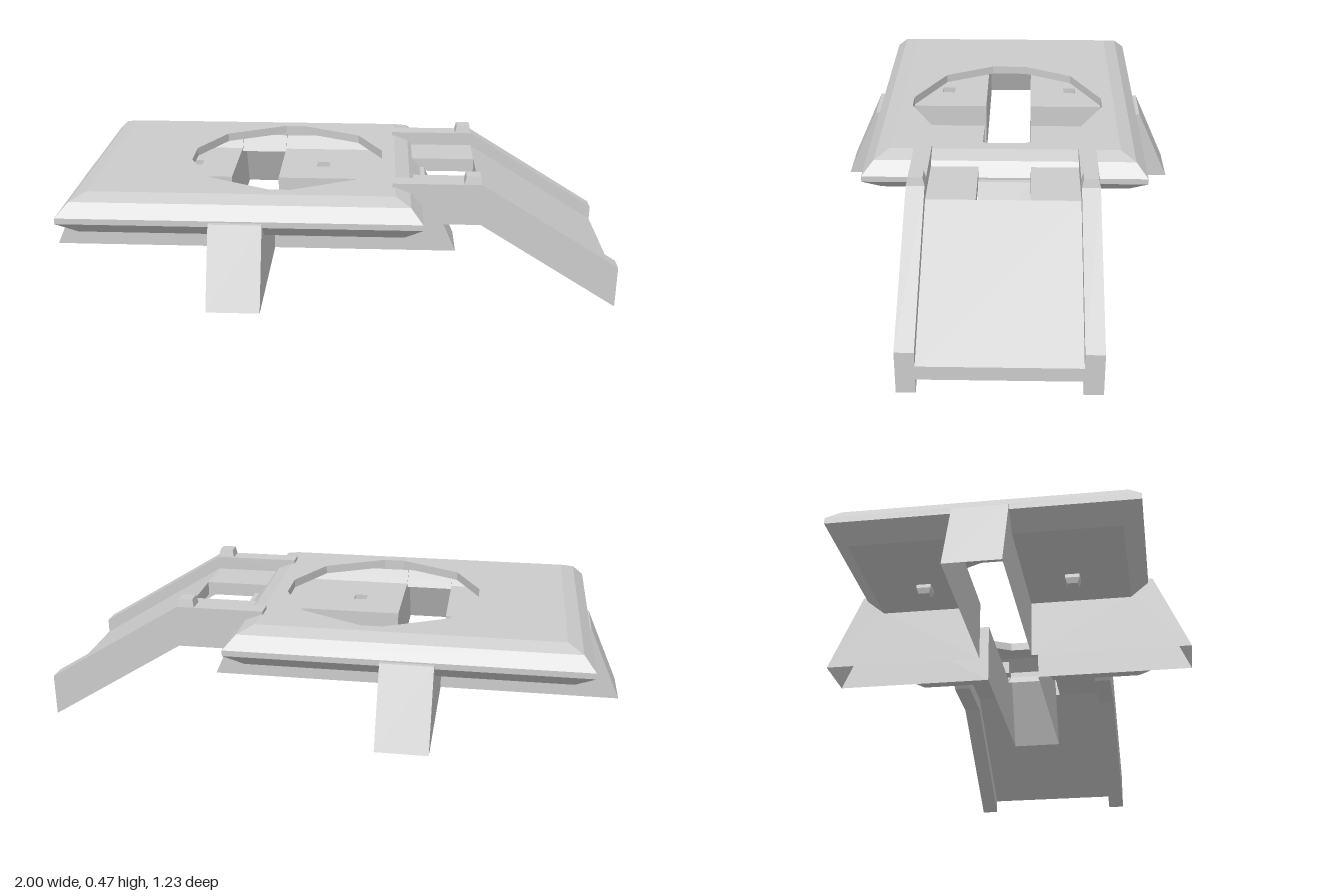
import * as THREE from 'three';

const mat = new THREE.MeshStandardMaterial({ color: 0xcccccc, flatShading: true, side: THREE.DoubleSide });

function add(parent, name, geo) {
  const mesh = new THREE.Mesh(geo, mat);
  mesh.name = name;
  parent.add(mesh);
  return mesh;
}

const shapeOf = (pts) => new THREE.Shape(pts.map(([x, y]) => new THREE.Vector2(x, y)));
const rect = (x0, x1, y0, y1) => [[x0, y0], [x1, y0], [x1, y1], [x0, y1]];

// Horizontal plate: outline given in x,z and thickness from y0 to y1
function plate(outline, hole, y0, y1) {
  const flip = ([x, z]) => [x, -z];
  const s = shapeOf(outline.map(flip));
  if (hole) s.holes.push(new THREE.Path(hole.map(flip).map((p) => new THREE.Vector2(...p))));
  const g = new THREE.ExtrudeGeometry(s, { depth: y1 - y0, bevelEnabled: false });
  return g.rotateX(-Math.PI / 2).translate(0, y0, 0);
}

// Upright profile in x,y, extruded from z0 to z1
function slab(profile, z0, z1) {
  return new THREE.ExtrudeGeometry(shapeOf(profile), { depth: z1 - z0, bevelEnabled: false }).translate(0, 0, z0);
}

// Faces joining rings of points; closed rings wrap around
function skin(rings, closed) {
  const pos = [];
  for (let i = 0; i + 1 < rings.length; i++) {
    const a = rings[i], b = rings[i + 1], n = a.length;
    for (let j = 0; j < (closed ? n : n - 1); j++) {
      const k = (j + 1) % n;
      pos.push(...a[j], ...b[k], ...a[k], ...a[j], ...b[j], ...b[k]);
    }
  }
  const g = new THREE.BufferGeometry();
  g.setAttribute('position', new THREE.Float32BufferAttribute(pos, 3));
  g.computeVertexNormals();
  return g;
}

const X0 = -0.88, X1 = 0.325, Z = 0.485; // deck outline
const CX = -0.285, W = 0.088;            // channel centre and half width

function makeDeck() {
  const deck = new THREE.Group();
  deck.name = 'deck';
  // Bevelled outer rim
  const profile = [[0.09, 0.43], [0.04, 0.41], [0, 0.367], [0, 0.347], [0.06, 0.297]];
  const rings = profile.map(([d, y]) => rect(X0 + d, X1 - d, -Z + d, Z - d).map(([x, z]) => [x, y, z]));
  add(deck, 'deckRim', skin(rings, true));
  // Roof with the twelve-sided opening
  const quarter = [[0.34, 0.065], [0.25, 0.242], [0.037, 0.35]];
  const half = [...quarter, ...quarter.map(([x, z]) => [-x, z]).reverse()];
  const opening = [...half, ...half.map(([x, z]) => [-x, -z])].map(([x, z]) => [x - 0.152, z]);
  add(deck, 'deckRoof', plate(rect(X0 + 0.09, X1 - 0.09, -Z + 0.09, Z - 0.09), opening, 0.4, 0.43));
  // Four floor panels, each with a small sunken socket
  for (const [x0, x1, sx] of [[X0 + 0.06, CX - W, -0.53], [CX + W, X1 - 0.06, -0.035]]) {
    for (const side of [-1, 1]) {
      const zs = [side * W, side * (Z - 0.06)].sort((a, b) => a - b);
      const sz = side * 0.245, r = 0.024;
      add(deck, 'floorPanel', plate(rect(x0, x1, ...zs), rect(sx - r, sx + r, sz - r, sz + r), 0.297, 0.31));
      const pts = [[0, 0.267], [0.024, 0.267], [0.034, 0.285], [0.034, 0.31]].map((p) => new THREE.Vector2(...p));
      add(deck, 'floorSocket', new THREE.LatheGeometry(pts, 4, Math.PI / 4)).position.set(sx, 0, sz);
    }
  }
  return deck;
}

// Hollow leg running out from the centre along local +x, open underneath
function makeLeg(length, angle) {
  const leg = new THREE.Group();
  leg.name = 'leg';
  const end = [[length, 0.103], [length - 0.115, 0.362], [length - 0.13, 0.362]];
  const side = [[W, 0.103], ...end, [length - 0.19, 0.305], [W, 0.305]];
  for (const z of [-W, W]) {
    add(leg, 'legWall', new THREE.ShapeGeometry(shapeOf(side))).position.z = z;
  }
  add(leg, 'legEnd', skin(end.map(([x, y]) => [[x, y, W], [x, y, -W]]), false));
  leg.position.x = CX;
  leg.rotation.y = angle;
  return leg;
}

function makeRamp() {
  const ramp = new THREE.Group();
  ramp.name = 'ramp';
  // Side rails with a small tapered post at the bend
  const rail = [[0.225, 0.443], [0.525, 0.443], [1, 0.15], [1, 0.003], [0.525, 0.299], [0.3, 0.299], [0.225, 0.4]];
  for (const s of [-1, 1]) {
    add(ramp, 'rail', slab(rail, s * 0.28 - 0.03, s * 0.28 + 0.03));
    const post = new THREE.CylinderGeometry(0.034, 0.042, 0.028, 4).rotateY(Math.PI / 4);
    add(ramp, 'railPost', post).position.set(0.495, 0.457, s * 0.28);
    // Landing strip beside the cutout
    const zs = [s * W, s * 0.25].sort((a, b) => a - b);
    add(ramp, 'landing', slab(rect(0.28, 0.525, 0.347, 0.395), ...zs));
  }
  // Sloping walkway
  const walk = [[0.525, 0.395], [1, 0.1], [1, 0.052], [0.525, 0.347]];
  add(ramp, 'walkway', slab(walk, -0.25, 0.25));
  return ramp;
}

export function createModel() {
  const model = new THREE.Group();
  model.name = 'landingPlatform';
  model.add(makeDeck(), makeRamp());
  // Legs towards +x, back, -x and front
  [0.745, 0.615, 0.715, 0.615].forEach((len, i) => model.add(makeLeg(len, i * Math.PI / 2)));
  return model;
}
